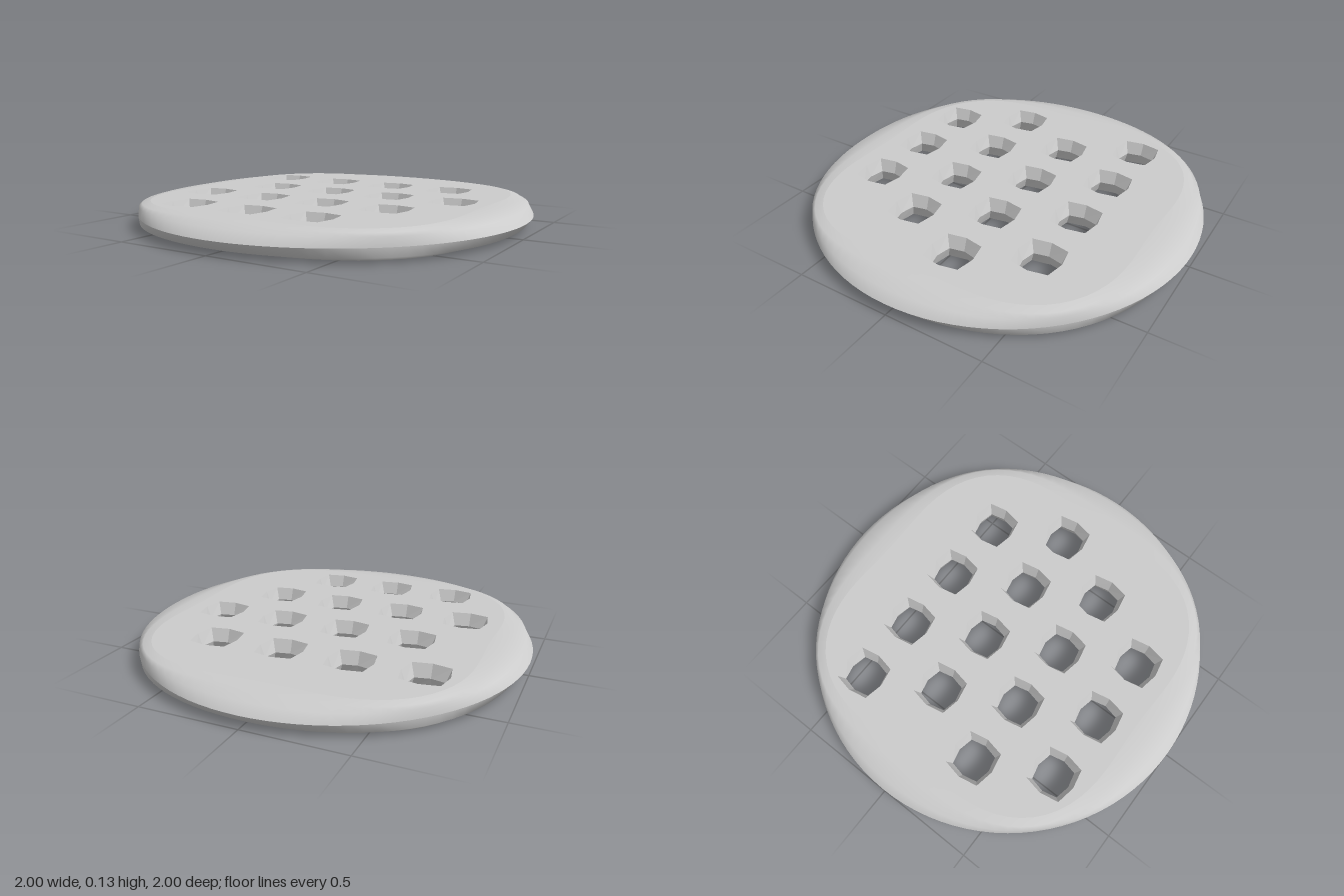
import * as THREE from 'three';

const H = 0.13, MID = H / 2, SIDES = 96;
const material = new THREE.MeshStandardMaterial({ color: 0xcccccc });
const facetMaterial = new THREE.MeshStandardMaterial({ color: 0xcccccc, flatShading: true });

// Skin between closed rings listed from top to bottom; inward turns the faces round
function loft(rings, inward = false) {
  const n = rings[0].length, index = [];
  for (let i = 0; i < rings.length - 1; i++) {
    for (let j = 0; j < n; j++) {
      const a = i * n + j, b = i * n + (j + 1) % n, c = a + n, d = b + n;
      if (inward) index.push(a, c, b, b, c, d);
      else index.push(a, b, c, b, d, c);
    }
  }
  const geo = new THREE.BufferGeometry().setFromPoints(rings.flat());
  geo.setIndex(index);
  geo.computeVertexNormals();
  return geo;
}

// Round outline whose radius and height shift from the axes to the diagonals
function discRing(radius, radiusShift, y, yShift) {
  return Array.from({ length: SIDES }, (_, j) => {
    const t = (j / SIDES) * Math.PI * 2, s = Math.sin(2 * t) ** 2;
    const r = radius + radiusShift * s;
    return new THREE.Vector3(r * Math.cos(t), y + yShift * s, r * Math.sin(t));
  });
}

// Eight-sided hole outline, slightly squarish
function holeRing([x, z], axisR, diagonalR, y) {
  return Array.from({ length: 8 }, (_, j) => {
    const t = (j / 8) * Math.PI * 2, r = j % 2 ? diagonalR : axisR;
    return new THREE.Vector3(x + r * Math.cos(t), y, z + r * Math.sin(t));
  });
}

const mirrorY = (ring) => ring.map((p) => new THREE.Vector3(p.x, H - p.y, p.z));

export function createModel() {
  const group = new THREE.Group();
  const add = (name, geo, mat = material) => {
    const mesh = new THREE.Mesh(geo, mat);
    mesh.name = name;
    group.add(mesh);
  };

  // Staggered rows of holes
  const step = 0.354, holes = [];
  [4, 4, 4, 3].forEach((count, row) => {
    for (let i = 0; i < count; i++) {
      holes.push([(row % 2 ? -0.443 : -0.62) + i * step, -0.443 + row * step]);
    }
  });

  // Rounded rim: plateau edge, shoulder, rim line, widest edge
  const upper = [
    discRing(0.80, 0.14, H, 0),
    discRing(0.87, 0.11, 0.127, -0.007),
    discRing(0.96, 0.035, 0.11, -0.003),
    discRing(1, 0, MID, 0),
  ];
  add('upperRim', loft(upper));
  add('lowerRim', loft(upper.map(mirrorY).reverse()));

  // Flat pierced faces, top and bottom
  for (const side of [1, -1]) {
    const flat = (ring) => ring.map((p) => new THREE.Vector2(p.x, -side * p.z));
    const shape = new THREE.Shape(flat(upper[0]));
    shape.holes = holes.map((h) => new THREE.Path(flat(holeRing(h, 0.113, 0.134, H))));
    const geo = new THREE.ShapeGeometry(shape);
    geo.rotateX(-side * Math.PI / 2);
    geo.translate(0, side > 0 ? H : 0, 0);
    add(side > 0 ? 'topFace' : 'bottomFace', geo);
  }

  // Hole walls, narrowest at mid height
  for (const h of holes) {
    const rings = [
      holeRing(h, 0.113, 0.134, H),
      holeRing(h, 0.09, 0.104, MID),
      holeRing(h, 0.113, 0.134, 0),
    ];
    add('holeWall', loft(rings, true), facetMaterial);
  }
  return group;
}
